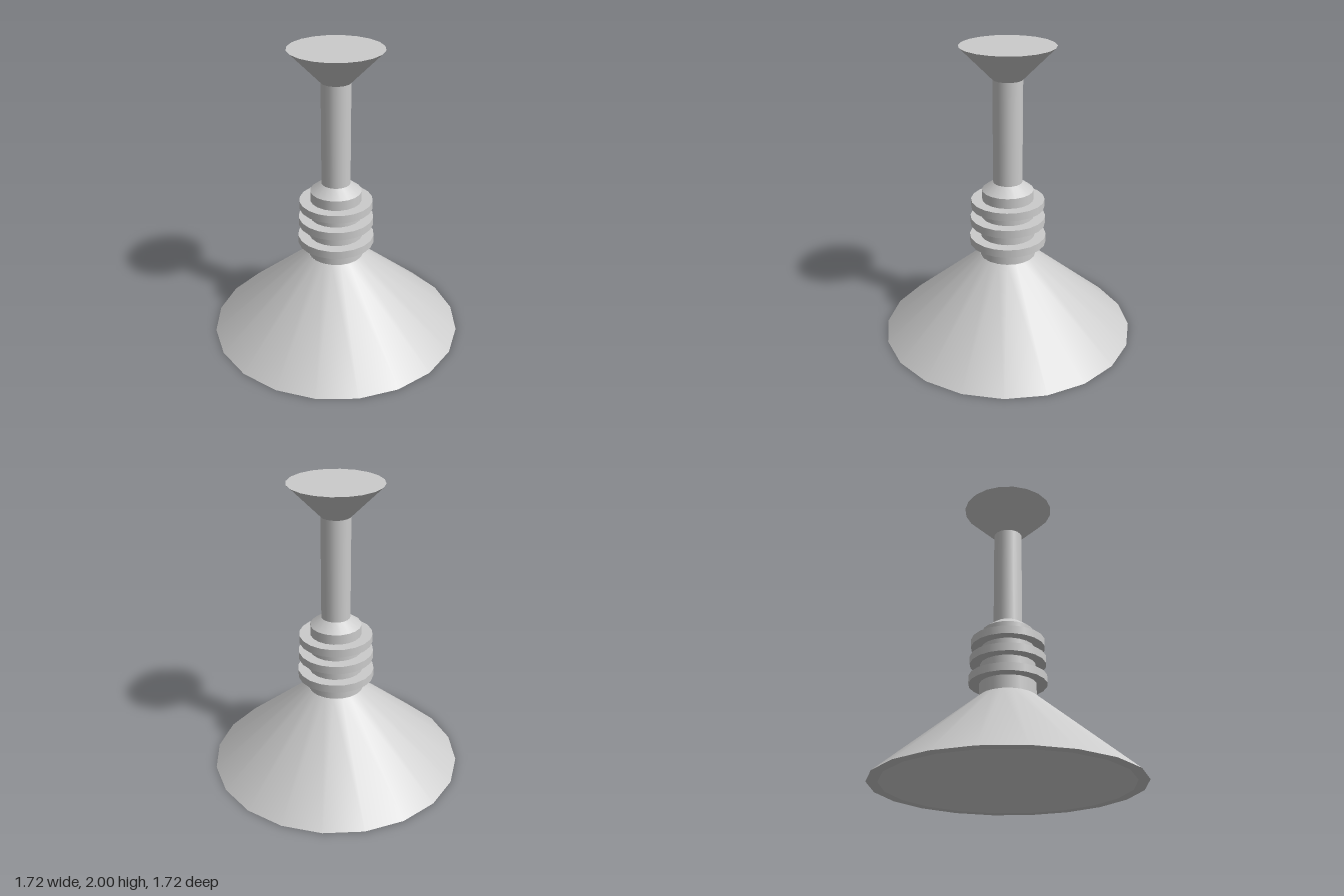
import * as THREE from 'three';
import { mergeGeometries } from 'three/addons/utils/BufferGeometryUtils.js';

const SIDES = 20;
const material = new THREE.MeshStandardMaterial({ color: 0xcccccc });

// Turned part: smooth around the axis, sharp at every profile corner.
// Profile points are [radius, y], running from the underside up the outside.
function turned(name, profile) {
  const bands = [];
  for (let i = 0; i < profile.length - 1; i++) {
    const pair = [profile[i], profile[i + 1]].map(([r, y]) => new THREE.Vector2(r, y));
    bands.push(new THREE.LatheGeometry(pair, SIDES));
  }
  const mesh = new THREE.Mesh(mergeGeometries(bands), material);
  mesh.name = name;
  return mesh;
}

// Closed disc or cylinder
const drum = (name, r, y0, y1) => turned(name, [[0, y0], [r, y0], [r, y1], [0, y1]]);

export function createModel() {
  const group = new THREE.Group();
  group.name = 'pendantLamp';

  // Hollow conical shade with a flat rim
  group.add(turned('shade', [[0, 0.43], [0.125, 0.43], [0.79, 0], [0.86, 0], [0.19, 0.57], [0, 0.57]]));

  // Stepped socket, narrowing upwards to a bevelled top
  group.add(turned('socket', [
    [0, 0.57], [0.188, 0.57], [0.188, 0.69], [0.183, 0.69], [0.183, 0.82],
    [0.177, 0.82], [0.177, 0.945], [0.172, 0.945], [0.172, 1.04], [0.097, 1.095], [0, 1.095],
  ]));

  // Cooling rings
  [[0.258, 0.66], [0.252, 0.797], [0.246, 0.918]].forEach(([r, y], i) =>
    group.add(drum(`ring${i + 1}`, r, y, y + 0.054)));

  // Hanging rod and flared ceiling mount
  group.add(drum('rod', 0.097, 1.09, 1.79));
  group.add(turned('ceilingMount', [[0, 1.787], [0.097, 1.787], [0.308, 2], [0, 2]]));

  return group;
}
